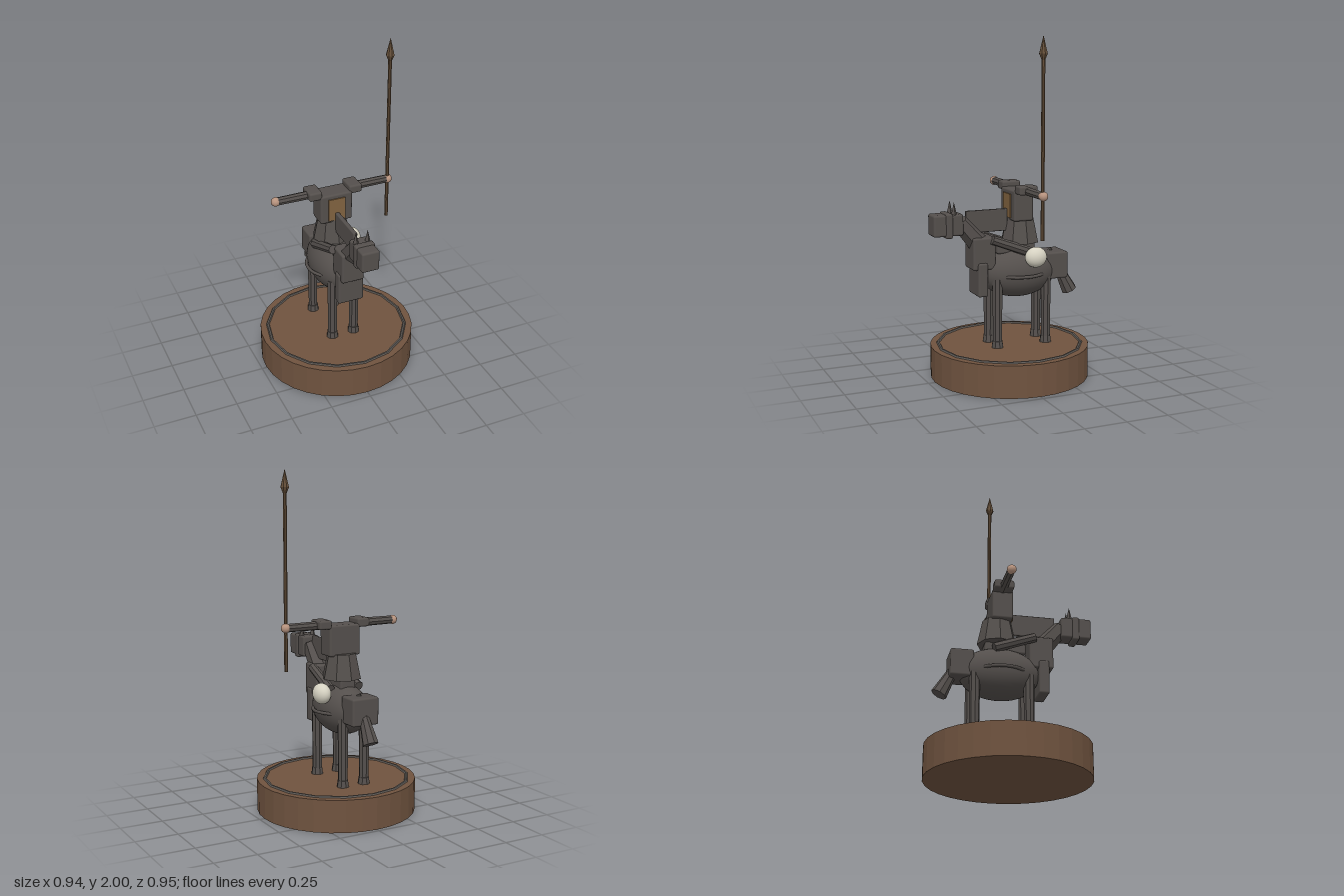
import * as THREE from 'three';
import { RoundedBoxGeometry } from 'three/addons/geometries/RoundedBoxGeometry.js';

const material = (name, color) => Object.assign(new THREE.MeshStandardMaterial({ color }), { name });

export function createModel() {
  const model = new THREE.Group();
  model.name = 'mountedSpearFigure';
  const grey = material('darkGrey', 0x544f4c);
  const ringGrey = material('ringGrey', 0x5d5955);
  const wood = material('baseBrown', 0x6f533f);
  const shaft = material('spearBrown', 0x66503a);
  const skin = material('skin', 0xb8947f);
  const ivory = material('ivory', 0xd6d2c2);
  const tan = material('tan', 0x80623f);

  const add = (name, geometry, mat, x = 0, y = 0, z = 0) => {
    const mesh = new THREE.Mesh(geometry, mat);
    mesh.name = name;
    mesh.position.set(x, y, z);
    model.add(mesh);
    return mesh;
  };
  // Facet a low-poly geometry
  const flat = (geometry) => {
    const g = geometry.index ? geometry.toNonIndexed() : geometry;
    g.computeVertexNormals();
    return g;
  };
  const box = (name, w, h, d, x, y, z, mat = grey, r = 0.012) =>
    add(name, new RoundedBoxGeometry(w, h, d, 2, r), mat, x, y, z);
  const cyl = (rTop, rBottom, h, sides) => flat(new THREE.CylinderGeometry(rTop, rBottom, h, sides));
  // Tapered rod between two points
  const rod = (name, from, to, rFrom, rTo, sides, mat = grey) => {
    const a = new THREE.Vector3(...from), b = new THREE.Vector3(...to);
    const dir = b.clone().sub(a);
    const mesh = add(name, cyl(rTo, rFrom, dir.length(), sides), mat);
    mesh.position.copy(a).add(b).multiplyScalar(0.5);
    mesh.quaternion.setFromUnitVectors(new THREE.Vector3(0, 1, 0), dir.normalize());
    return mesh;
  };

  // Round base with inlaid ring
  add('base', cyl(0.47, 0.47, 0.19, 32), wood, 0, 0.095, -0.01);
  add('baseRing', flat(new THREE.TorusGeometry(0.425, 0.01, 6, 16)), ringGrey, 0, 0.19, -0.01).rotation.x = Math.PI / 2;

  // Horse body, girth band, chest and rump
  add('horseBody', new THREE.SphereGeometry(1, 32, 20), grey, 0, 0.62, -0.065).scale.set(0.14, 0.15, 0.235);
  add('girthBand', new THREE.TorusGeometry(0.16, 0.01, 8, 32), grey, 0, 0.615, -0.06).rotation.x = Math.PI / 2;
  box('chest', 0.16, 0.2, 0.06, 0, 0.6, 0.185);
  box('rump', 0.17, 0.16, 0.135, 0, 0.65, -0.288);
  rod('tail', [0, 0.735, -0.27], [0, 0.475, -0.405], 0.014, 0.047, 8);

  // Neck, head and mane
  box('lowerNeck', 0.14, 0.19, 0.14, 0, 0.752, 0.172);
  rod('upperNeck', [0, 0.765, 0.15], [0, 0.94, 0.3], 0.065, 0.05, 6);
  box('head', 0.108, 0.125, 0.18, 0, 0.93, 0.385);
  box('halter', 0.12, 0.145, 0.043, 0, 0.927, 0.382);
  box('mane', 0.026, 0.13, 0.26, 0, 0.935, 0.135, grey, 0.006);

  // Parts mirrored left and right
  for (const s of [1, -1]) {
    add('ear', flat(new THREE.ConeGeometry(0.018, 0.075, 4)), grey, s * 0.036, 1.025, 0.348);
    for (const z of [0.095, -0.215]) {
      add('horseLeg', cyl(0.032, 0.028, 0.4, 8), grey, s * 0.07, 0.4, z);
      add('hoof', cyl(0.031, 0.036, 0.04, 8), grey, s * 0.07, 0.21, z);
    }
    rod('riderLeg', [s * 0.08, 0.835, 0.13], [s * 0.095, 0.745, -0.11], 0.027, 0.03, 8);
    box('shoulderPad', 0.08, 0.052, 0.115, s * 0.125, 1.121, -0.063);
    rod('arm', [s * 0.09, 1.115, -0.063], [s * 0.35, 1.115, -0.063], 0.026, 0.024, 8);
    add('hand', new THREE.SphereGeometry(0.027, 16, 12), skin, s * 0.355, 1.115, -0.063);
  }

  // Rider's saddle, skirt and torso
  box('saddle', 0.1, 0.06, 0.24, 0, 0.77, -0.035);
  add('skirt', cyl(0.085, 0.116, 0.148, 8), grey, 0, 0.873, -0.077);
  box('torso', 0.2, 0.182, 0.122, 0, 1.025, -0.06);
  add('chestPanel', new THREE.BoxGeometry(0.105, 0.14, 0.008), tan, 0, 1.02, 0.004);

  // Ivory pouch at the left flank
  add('pouch', new THREE.SphereGeometry(1, 32, 24), ivory, 0.152, 0.728, -0.113).scale.set(0.05, 0.06, 0.066);

  // Spear
  add('spearShaft', cyl(0.011, 0.011, 1.02, 8), shaft, 0.352, 1.375, -0.06);
  const tip = [[0.008, 1.86], [0.025, 1.9], [0, 2]].map(([r, y]) => new THREE.Vector2(r, y));
  add('spearTip', flat(new THREE.LatheGeometry(tip, 8)), shaft, 0.352, 0, -0.06);
  return model;
}
